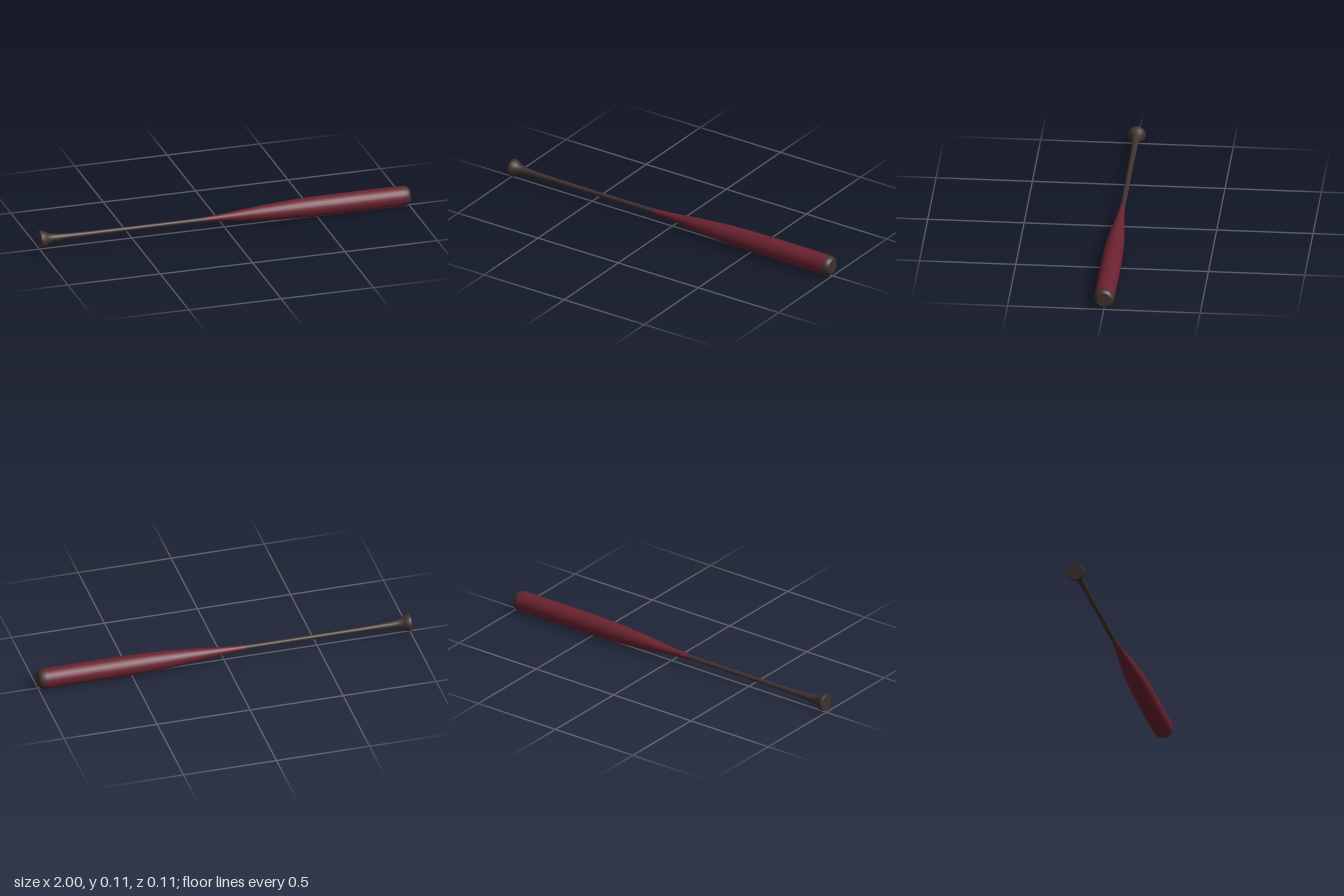
import * as THREE from 'three';

const AXIS_Y = 0.0535;

export function createModel() {
  const model = new THREE.Group();
  model.name = 'bat';
  const dark = new THREE.MeshStandardMaterial({ color: 0x40322f });
  dark.name = 'dark grip';
  const red = new THREE.MeshStandardMaterial({ color: 0x6b2230 });
  red.name = 'deep red';

  // Turns a profile of [x, radius] pairs about the long axis
  function turned(name, profile, material) {
    const points = profile.map(([x, r]) => new THREE.Vector2(r, x));
    const mesh = new THREE.Mesh(new THREE.LatheGeometry(points, 24), material);
    mesh.name = name;
    mesh.rotation.z = -Math.PI / 2;
    mesh.position.y = AXIS_Y;
    model.add(mesh);
  }

  // Flat disc closing an end; side is +1 or -1 along x
  function endDisc(name, x, radius, side) {
    const mesh = new THREE.Mesh(new THREE.CircleGeometry(radius, 24), dark);
    mesh.name = name;
    mesh.rotation.y = side * Math.PI / 2;
    mesh.position.set(x, AXIS_Y, 0);
    model.add(mesh);
  }

  // Flared knob running into the slim handle
  turned('handle', [
    [-1, 0.043], [-0.995, 0.046], [-0.982, 0.045], [-0.968, 0.037], [-0.952, 0.028],
    [-0.93, 0.022], [-0.89, 0.018], [-0.82, 0.015], [-0.73, 0.013], [-0.5, 0.012],
    [-0.25, 0.012], [-0.16, 0.0125], [-0.11, 0.014],
  ], dark);
  endDisc('knobEnd', -1, 0.043, -1);

  // Tapered barrel
  turned('barrel', [
    [-0.11, 0.014], [-0.05, 0.017], [0.02, 0.022], [0.1, 0.03], [0.2, 0.039],
    [0.3, 0.046], [0.4, 0.0505], [0.52, 0.053], [0.7, 0.0535], [0.9, 0.053], [0.967, 0.0525],
  ], red);

  // Rounded end cap
  turned('endCap', [
    [0.967, 0.0525], [0.982, 0.051], [0.993, 0.046], [1, 0.037],
  ], dark);
  endDisc('capEnd', 1, 0.037, 1);

  return model;
}
